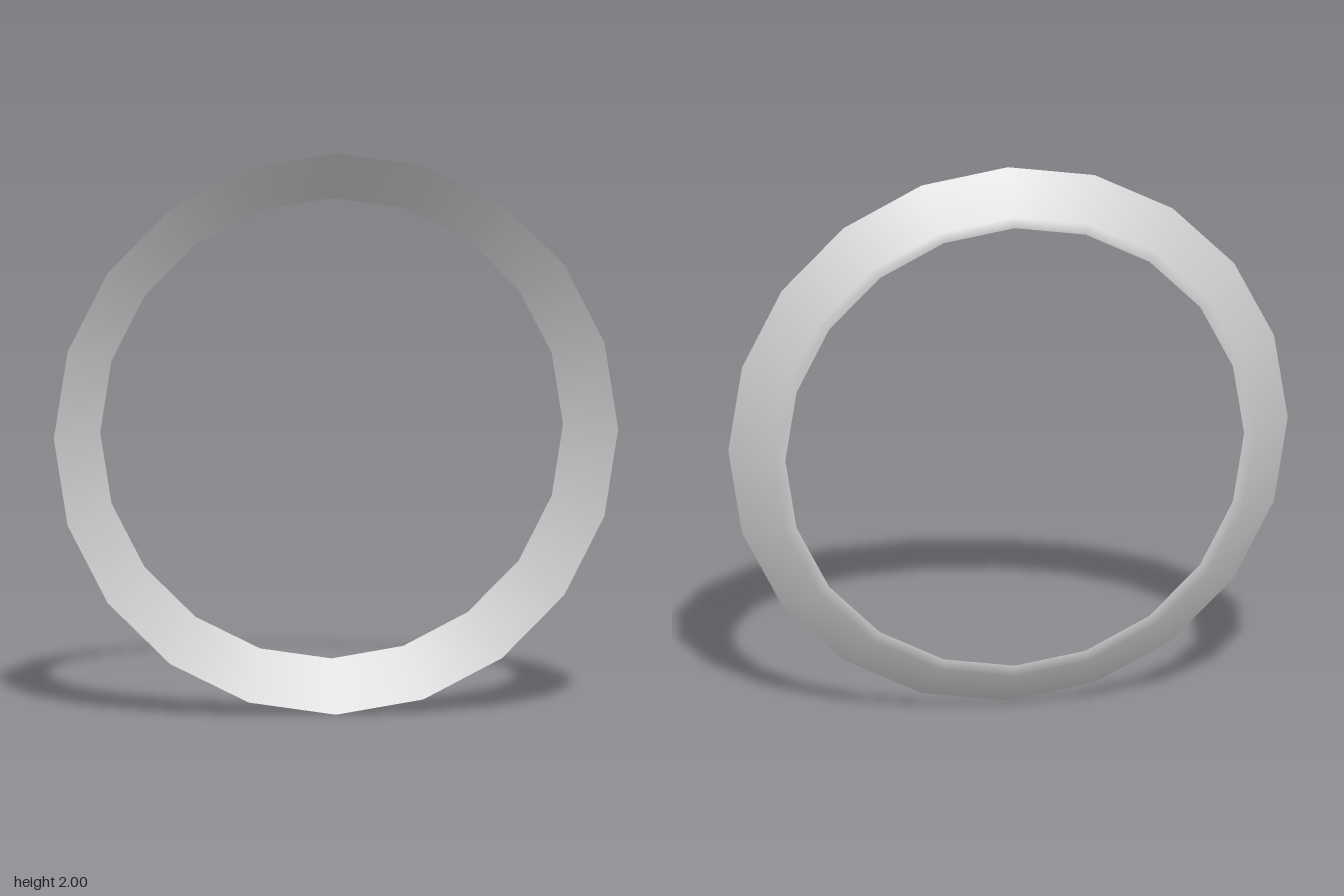
import * as THREE from 'three';

const SIDES = 20;

// Turns a [radius, z] profile around the z axis
function turned(name, profile) {
  const points = profile.map(([r, z]) => new THREE.Vector2(r, z));
  const geometry = new THREE.LatheGeometry(points, SIDES);
  geometry.rotateX(Math.PI / 2);
  const material = new THREE.MeshStandardMaterial({ color: 0xcccccc, side: THREE.DoubleSide });
  const mesh = new THREE.Mesh(geometry, material);
  mesh.name = name;
  mesh.position.y = 1;
  return mesh;
}

export function createModel() {
  const group = new THREE.Group();
  group.name = 'bevelledRing';

  // Dished front face, its outer rim standing free as a thin flange
  group.add(turned('frontFlange', [[1, 0.068], [0.82, -0.067]]));

  // Backing shell: narrow rear lip, then the sloping outer wall
  group.add(turned('backShell', [[0.82, -0.067], [0.86, -0.067], [0.98, 0.023]]));

  // Step that closes the shell against the flange
  group.add(turned('shellStep', [[0.98, 0.023], [0.94, 0.023]]));

  return group;
}
